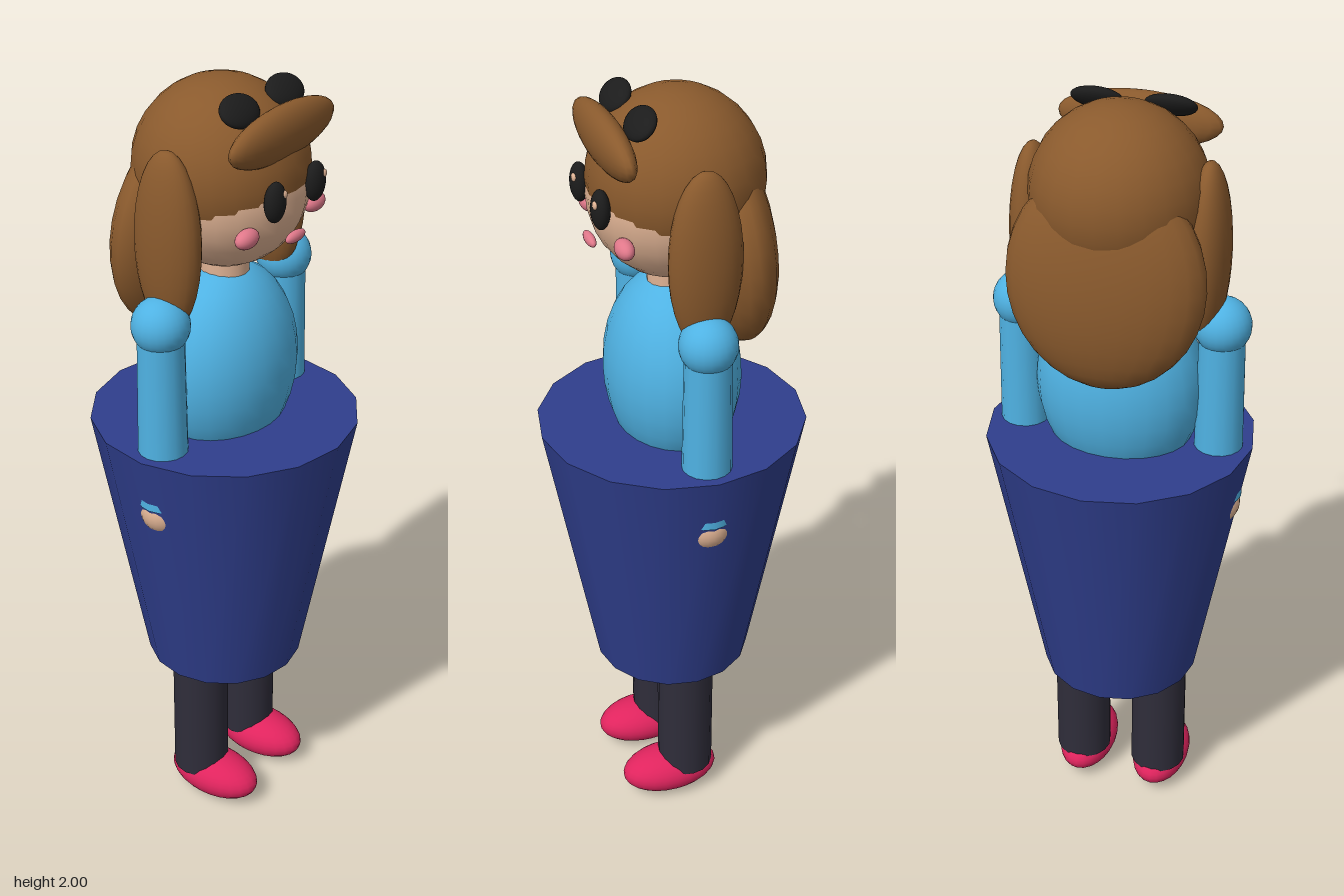
import * as THREE from 'three';

const material = (name, color) => {
  const m = new THREE.MeshStandardMaterial({ color });
  m.name = name;
  return m;
};

export function createModel() {
  const model = new THREE.Group();
  model.name = 'girlFigure';

  const navy = material('navy', 0x2f3e8c);
  const blue = material('skyBlue', 0x4fb2e3);
  const brown = material('hairBrown', 0x8a5a2d);
  const skin = material('skin', 0xe0b394);
  const black = material('black', 0x1c1c1c);
  const charcoal = material('charcoal', 0x2f2d3a);
  const shoePink = material('shoePink', 0xe0245e);
  const blush = material('blush', 0xe0788a);

  const add = (name, geometry, mat, [x, y, z]) => {
    const mesh = new THREE.Mesh(geometry, mat);
    mesh.name = name;
    mesh.position.set(x, y, z);
    model.add(mesh);
    return mesh;
  };

  // Ellipsoid from centre, radii and a tilt about x
  const blob = (name, mat, centre, radii, tilt = 0) => {
    const mesh = add(name, new THREE.SphereGeometry(1, 24, 16), mat, centre);
    mesh.scale.set(...radii);
    mesh.rotation.x = tilt;
    return mesh;
  };

  // Upright cylinder between two heights
  const column = (name, mat, x, y0, y1, rTop, rBottom = rTop) =>
    add(name, new THREE.CylinderGeometry(rTop, rBottom, y1 - y0, 16), mat, [x, (y0 + y1) / 2, 0]);

  // Body
  column('skirt', navy, 0, 0.43, 1.145, 0.336, 0.203);
  blob('torso', blue, [0, 1.285, 0], [0.21, 0.26, 0.165]);
  column('neck', skin, 0, 1.5, 1.6, 0.06);

  // Head and hair
  blob('head', skin, [0, 1.75, 0], [0.2, 0.2, 0.2]);
  blob('hairCap', brown, [0, 1.79, -0.01], [0.212, 0.21, 0.21]);
  blob('backHair', brown, [0, 1.62, -0.13], [0.24, 0.268, 0.1], 0.1);
  blob('fringe', brown, [0, 1.9, 0.16], [0.2, 0.066, 0.041], 0.12);
  blob('mouth', blush, [0, 1.66, 0.2], [0.037, 0.014, 0.012]);

  for (const s of [1, -1]) {
    const side = s > 0 ? 'left' : 'right';

    // Hair locks and lenses worn above the fringe
    blob(side + 'HairLock', brown, [s * 0.21, 1.665, -0.006], [0.055, 0.22, 0.088]);
    blob(side + 'Lens', black, [s * 0.088, 1.962, 0.104], [0.063, 0.042, 0.02], -0.8);

    // Face
    blob(side + 'Eye', black, [s * 0.08, 1.768, 0.197], [0.032, 0.048, 0.022]);
    blob(side + 'EyeGlint', skin, [s * 0.08 + 0.012, 1.786, 0.213], [0.01, 0.01, 0.006]);
    blob(side + 'Cheek', blush, [s * 0.135, 1.69, 0.16], [0.037, 0.023, 0.022]);

    // Arms
    blob(side + 'Shoulder', blue, [s * 0.25, 1.475, 0], [0.07, 0.07, 0.07]);
    column(side + 'Arm', blue, s * 0.25, 1.0, 1.475, 0.056, 0.063);
    blob(side + 'Hand', skin, [s * 0.25, 0.975, 0], [0.06, 0.06, 0.06]);

    // Legs
    column(side + 'Leg', charcoal, s * 0.108, 0.08, 0.5, 0.074);
    blob(side + 'Shoe', shoePink, [s * 0.107, 0.061, 0.045], [0.076, 0.061, 0.132]);
  }

  return model;
}
